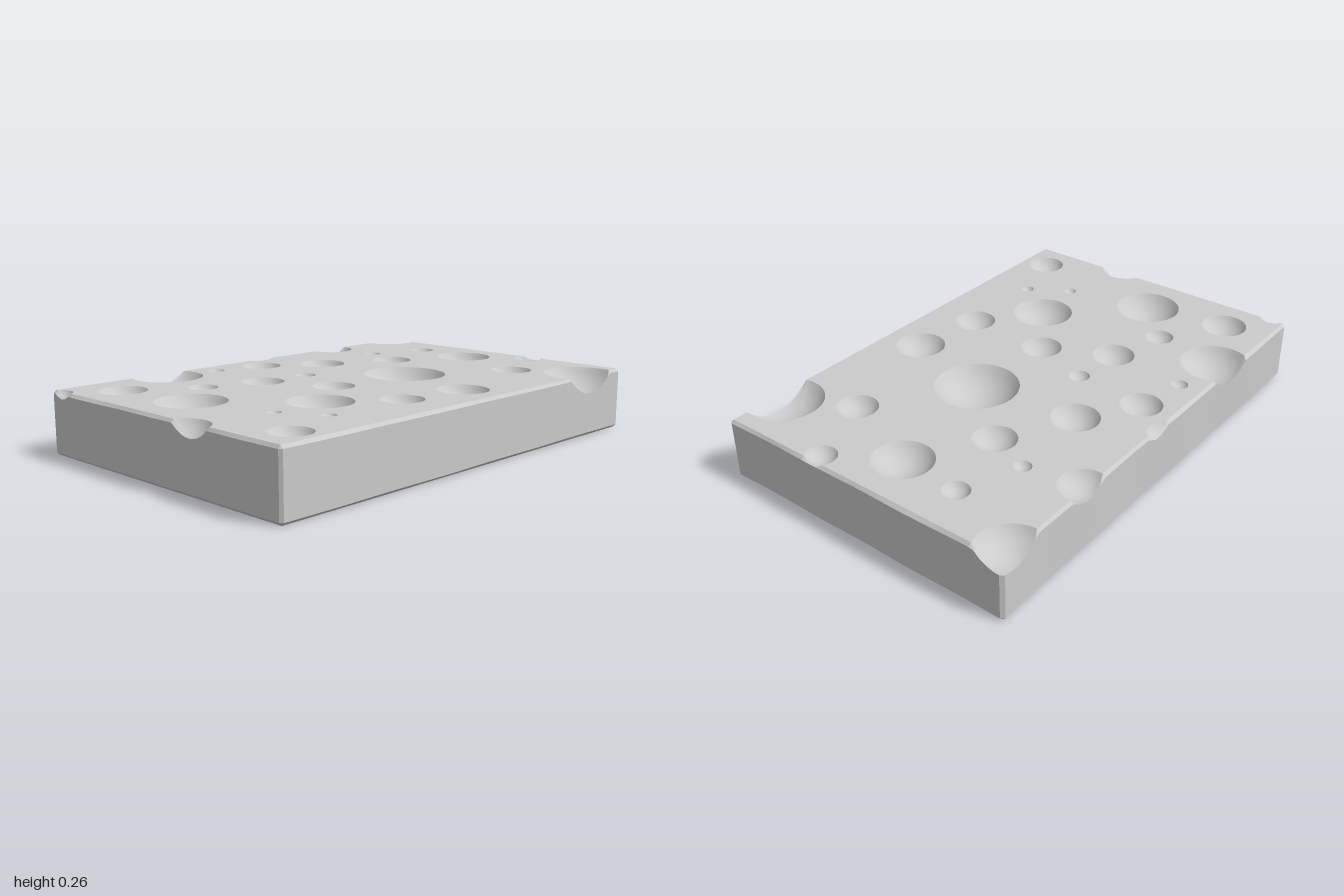
import * as THREE from 'three';
import { toCreasedNormals } from 'three/addons/utils/BufferGeometryUtils.js';

const X = 0.984, Z = 0.65, H = 0.26, BEVEL = 0.012;

// craters: x, z, rim radius
const CRATERS = [
  [-0.81, -0.455, 0.097], [-0.5, -0.585, 0.145], [-0.265, -0.555, 0.034], [-0.045, -0.515, 0.085],
  [0.063, -0.71, 0.09], [0.515, -0.64, 0.098], [0.935, -0.65, 0.135], [-1.01, -0.59, 0.055],
  [-0.55, -0.285, 0.06], [-0.3, -0.215, 0.088], [-0.075, -0.2, 0.043], [0.185, -0.365, 0.098],
  [0.555, -0.4, 0.035], [0.805, -0.305, 0.053], [0.48, -0.212, 0.087], [-0.755, -0.097, 0.14],
  [-0.17, 0.063, 0.086], [0.235, 0.08, 0.172], [0.785, -0.035, 0.12], [-1.03, 0.205, 0.107],
  [-0.675, 0.275, 0.027], [-0.427, 0.25, 0.131], [-0.572, 0.447, 0.028], [-0.838, 0.537, 0.081],
  [-0.183, 0.438, 0.087], [0.128, 0.48, 0.104], [0.635, 0.345, 0.084], [0.945, 0.215, 0.062],
  [0.77, 0.61, 0.158],
].map(([x, z, r]) => ({ x, z, r, cut: Math.abs(x) + r > X || Math.abs(z) + r > Z }));

const craterAt = (x, z) => CRATERS.find((c) => Math.hypot(x - c.x, z - c.z) < c.r - 1e-5);

// height of the top surface: flat, or the bottom of a shallow spherical bowl
function surfaceY(x, z) {
  const c = craterAt(x, z);
  if (!c) return H;
  const R = 1.184 * c.r;
  return Math.min(H, H + 0.634 * c.r - Math.sqrt(R * R - (x - c.x) ** 2 - (z - c.z) ** 2));
}

// points round the slab, counter-clockwise from above, with outward normals;
// the exact crossings with crater rims are included
function perimeter() {
  const corners = [[-X, Z], [X, Z], [X, -Z], [-X, -Z]];
  const normals = [[0, 1], [1, 0], [0, -1], [-1, 0]];
  const points = [];
  corners.forEach(([ax, az], s) => {
    const [bx, bz] = corners[(s + 1) % 4];
    const len = Math.hypot(bx - ax, bz - az), dx = (bx - ax) / len, dz = (bz - az) / len;
    const ts = [];
    for (let i = 0; i <= 48; i++) ts.push((len * i) / 48);
    for (const c of CRATERS) {
      const along = (c.x - ax) * dx + (c.z - az) * dz;
      const away = (c.x - ax) * dz - (c.z - az) * dx;
      if (Math.abs(away) >= c.r) continue;
      const half = Math.sqrt(c.r * c.r - away * away);
      ts.push(...[along - half, along + half].filter((t) => t > 0 && t < len));
    }
    ts.sort((a, b) => a - b);
    for (const t of ts) {
      points.push({ x: ax + dx * t, z: az + dz * t, n: normals[s], corner: t === len });
    }
  });
  return points;
}

// points on a crater rim between two angles (measured in x, -z)
function arc(c, a0, a1, n) {
  return Array.from({ length: n + 1 }, (_, i) => {
    const a = a0 + ((a1 - a0) * i) / n;
    return { x: c.x + c.r * Math.cos(a), z: c.z - c.r * Math.sin(a) };
  });
}

function indexed(positions, index) {
  const g = new THREE.BufferGeometry();
  g.setAttribute('position', new THREE.Float32BufferAttribute(positions, 3));
  g.setIndex(index);
  g.computeVertexNormals();
  return g;
}

// rings shrinking from the rim to the middle, dropped onto the bowl
function bowlGeometry(rim) {
  const rings = 10, n = rim.length, pos = [], idx = [];
  const mx = rim.reduce((s, p) => s + p.x, 0) / n, mz = rim.reduce((s, p) => s + p.z, 0) / n;
  for (let j = 0; j <= rings; j++) {
    for (const p of rim) {
      const k = 1 - j / rings, x = mx + (p.x - mx) * k, z = mz + (p.z - mz) * k;
      pos.push(x, surfaceY(x, z), z);
      }
  }
  for (let j = 0; j < rings; j++) {
    for (let i = 0; i < n; i++) {
      const a = j * n + i, b = j * n + ((i + 1) % n);
      idx.push(a, b, b + n);
      if (j < rings - 1) idx.push(a, b + n, a + n);
    }
  }
  return indexed(pos, idx);
}

// bevelled, slightly wavy sides whose top edge dips into the cut craters
function sideGeometry(points) {
  const pos = [], idx = [], n = points.length;
  for (const { x, z, n: [nx, nz] } of points) {
    const out = BEVEL + 0.003 * Math.sin(7 * x + 5 * z + 2 * nx) * Math.cos(4 * x - 9 * z);
    const ox = x + nx * out, oz = z + nz * out;
    pos.push(x, 0, z, ox, BEVEL, oz);
    pos.push(ox, Math.min(H - BEVEL, surfaceY(ox, oz)), oz, x, surfaceY(x, z), z);
  }
  for (let i = 0; i < n; i++) {
    for (let j = 0; j < 3; j++) {
      const a = i * 4 + j, b = ((i + 1) % n) * 4 + j;
      idx.push(a, b, b + 1, a, b + 1, a + 1);
    }
  }
  return toCreasedNormals(indexed(pos, idx), 0.5);
}

export function createModel() {
  const group = new THREE.Group();
  const material = new THREE.MeshStandardMaterial({ color: 0xcccccc });
  const add = (name, geometry, parent = group) => {
    const mesh = new THREE.Mesh(geometry, material);
    mesh.name = name;
    parent.add(mesh);
    return mesh;
  };
  const craters = new THREE.Group();
  craters.name = 'craters';
  group.add(craters);

  const edge = perimeter();
  add('sides', sideGeometry(edge));
  add('underside', new THREE.PlaneGeometry(2 * X, 2 * Z).rotateX(Math.PI / 2));

  // top outline, following the rims of craters cut by the edge
  const outline = [];
  let run = null, current = null;
  for (const p of edge.filter((q) => !q.corner)) {
    const c = craterAt(p.x, p.z);
    if (c) {
      if (!run) run = [outline[outline.length - 1]];
      current = c;
      run.push(p);
      continue;
    }
    if (run) {
      const angle = (q) => Math.atan2(current.z - q.z, q.x - current.x);
      const a0 = angle(run[0]);
      let a1 = angle(p);
      if (a1 > a0) a1 -= 2 * Math.PI;
      const rim = arc(current, a0, a1, 32).slice(1, -1);
      outline.push(...rim);
      add('edgeCrater', bowlGeometry([...run, p, ...rim.reverse()]), craters);
      run = null;
    }
    outline.push(p);
  }

  // flat top with round openings, and a bowl in each one
  const flat = (pts) => pts.map((p) => new THREE.Vector2(p.x, -p.z));
  const top = new THREE.Shape(flat(outline));
  for (const c of CRATERS.filter((k) => !k.cut)) {
    const rim = arc(c, 0, 2 * Math.PI, 48).slice(0, -1);
    top.holes.push(new THREE.Path(flat(rim)));
    add('crater', bowlGeometry(rim), craters);
  }
  add('topFace', new THREE.ShapeGeometry(top).rotateX(-Math.PI / 2).translate(0, H, 0));
  return group;
}
